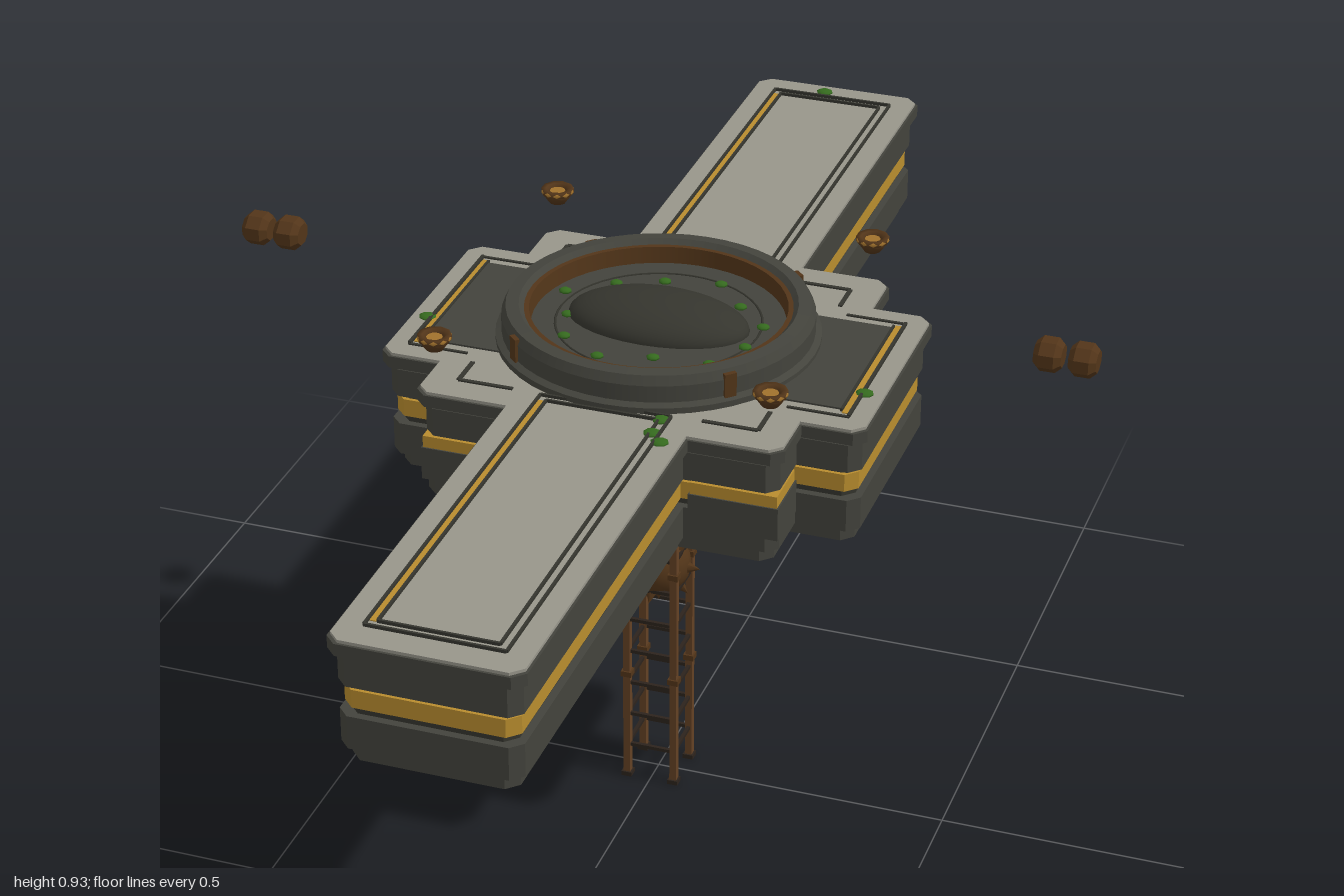
import * as THREE from 'three';

const mat = (name, color, side = THREE.FrontSide) => {
  const m = new THREE.MeshStandardMaterial({ color, side });
  m.name = name;
  return m;
};

export function createModel() {
  const root = new THREE.Group();
  root.name = 'skyBridge';
  const stone = mat('darkStone', 0x43433c, THREE.DoubleSide);
  const deep = mat('deepStone', 0x35352e);
  const pale = mat('paleStone', 0x97958a);
  const gold = mat('gold', 0xb88c2e);
  const bronze = mat('bronze', 0xa0712c);
  const rust = mat('rustBrown', 0x634124);
  const wood = mat('darkBrown', 0x523519, THREE.DoubleSide);
  const iron = mat('blackIron', 0x2c231c);
  const moss = mat('moss', 0x356a1e);

  const add = (name, geo, m, x = 0, y = 0, z = 0, parent = root) => {
    const mesh = new THREE.Mesh(geo, m);
    mesh.name = name;
    mesh.position.set(x, y, z);
    parent.add(mesh);
    return mesh;
  };
  const box = (name, m, w, h, d, x, y, z, parent) =>
    add(name, new THREE.BoxGeometry(w, h, d), m, x, y, z, parent);

  // Stepped cross outline with chamfered outer corners, inset by o
  const outline = (o) => {
    const c = 0.018, a = 0.15 - o, b = 0.3 - o, e = 0.4 - o;
    const l = 1 - o, m = 0.3 - o, n = 0.2 - o;
    const q = [[e, n - c], [e - c, n], [b, n], [b, m - c], [b - c, m], [a, m], [a, l - c], [a - c, l]];
    const r = [...q].reverse();
    const pts = [
      ...q, ...r.map(([x, y]) => [-x, y]),
      ...q.map(([x, y]) => [-x, -y]), ...r.map(([x, y]) => [x, -y]),
    ];
    return new THREE.Shape(pts.map(([x, y]) => new THREE.Vector2(x, y)));
  };
  const layer = (name, m, o, y0, y1) => {
    const g = new THREE.ExtrudeGeometry(outline(o), { depth: y1 - y0, bevelEnabled: false });
    g.rotateX(-Math.PI / 2);
    add(name, g, m, 0, y0, 0);
  };

  // Platform built up in courses
  layer('plinth', stone, 0.022, 0.62, 0.645);
  layer('lowerCourse', stone, 0.01, 0.645, 0.7);
  layer('lowerRecess', deep, 0.022, 0.7, 0.712);
  layer('goldBand', gold, 0.016, 0.712, 0.742);
  layer('upperRecess', deep, 0.022, 0.742, 0.75);
  layer('upperCourse', stone, 0.01, 0.75, 0.798);
  layer('capRecess', deep, 0.018, 0.798, 0.805);
  layer('cap', stone, 0, 0.805, 0.825);
  layer('deck', pale, 0.004, 0.825, 0.83);
  for (const sx of [-1, 1]) for (const sz of [-1, 1]) {
    box('cornerButtress', stone, 0.145, 0.056, 0.095, sx * 0.2205, 0.698, sz * 0.2445);
    box('cornerGoldBand', gold, 0.14, 0.02, 0.09, sx * 0.2205, 0.736, sz * 0.2445);
  }

  // Thin raised rectangular outline on the deck
  const frame = (name, w, d, z) => {
    const g = new THREE.Group();
    g.name = name;
    g.position.set(0, 0.832, z);
    for (const s of [-1, 1]) {
      box('longLine', deep, 0.004, 0.006, d, s * w / 2, 0, 0, g);
      box('shortLine', deep, w, 0.006, 0.004, 0, 0, s * d / 2, g);
    }
    root.add(g);
  };
  for (const s of [-1, 1]) {
    // Bridge arms: gold inlay sunk between two raised lips
    frame('armOuterFrame', 0.214, 0.7, s * 0.6);
    frame('armInnerFrame', 0.184, 0.67, s * 0.6);
    box('armGoldLine', gold, 0.01, 0.002, 0.67, -0.0995, 0.8305, s * 0.6);
    // Side terraces
    box('terracePad', stone, 0.17, 0.004, 0.28, s * 0.262, 0.831, 0);
    box('terraceGoldLine', gold, 0.01, 0.002, 0.3, s * 0.354, 0.8305, 0);
    box('terraceOuterLip', deep, 0.005, 0.006, 0.32, s * 0.3625, 0.832, 0);
    box('terraceInnerLip', deep, 0.004, 0.006, 0.29, s * 0.347, 0.832, 0);
    for (const t of [-1, 1]) {
      box('terraceSideLine', deep, 0.1, 0.003, 0.005, s * 0.314, 0.831, t * 0.16);
      box('cornerLineX', deep, 0.09, 0.003, 0.007, s * 0.2, 0.831, t * 0.245);
      box('cornerLineZ', deep, 0.007, 0.003, 0.06, s * 0.245, 0.831, t * 0.215);
    }
  }

  // Round basin with brown lining
  const lathe = (pts, seg) =>
    new THREE.LatheGeometry(pts.map(([x, y]) => new THREE.Vector2(x, y)), seg);
  const ringProfile = [[0.26, 0.83], [0.26, 0.84], [0.25, 0.845], [0.25, 0.873], [0.243, 0.888],
    [0.222, 0.89], [0.214, 0.882]];
  // Each straight run is its own strip so edges stay sharp
  for (let i = 0; i < ringProfile.length - 1; i++)
    add('basinRing', lathe([ringProfile[i], ringProfile[i + 1]], 48), stone);
  add('basinLip', lathe([[0.214, 0.882], [0.206, 0.882]], 48), wood);
  add('basinLining', lathe([[0.206, 0.882], [0.203, 0.85]], 48), wood);
  add('basinFloor', new THREE.CylinderGeometry(0.206, 0.206, 0.022, 48), stone, 0, 0.843, 0);
  add('floorRing', new THREE.TorusGeometry(0.165, 0.002, 4, 48).rotateX(Math.PI / 2), deep, 0, 0.854, 0);
  const dome = new THREE.SphereGeometry(1, 32, 10, 0, Math.PI * 2, 0, Math.PI / 2);
  add('centralDome', dome, deep, 0, 0.854, 0).scale.set(0.15, 0.046, 0.085);
  for (let i = 0; i < 4; i++) {
    const a = Math.PI / 4 + i * Math.PI / 2;
    const clip = box('ringClip', wood, 0.02, 0.04, 0.008, Math.sin(a) * 0.25, 0.863, Math.cos(a) * 0.25);
    clip.rotation.y = a;
  }

  // Floating fire bowls
  for (const sx of [-1, 1]) for (const sz of [-1, 1]) {
    const bowl = new THREE.Group();
    bowl.name = 'fireBowl';
    bowl.position.set(sx * 0.272, 0.895, sz * 0.272);
    add('bowlShell', lathe([[0, 0], [0.014, 0], [0.022, 0.011], [0.022, 0.016]], 10), wood, 0, 0, 0, bowl);
    add('bowlRim', lathe([[0.022, 0.016], [0.027, 0.017], [0.027, 0.025], [0.019, 0.025], [0.016, 0.018]], 10),
      wood, 0, 0, 0, bowl);
    add('rimBand', new THREE.TorusGeometry(0.0235, 0.0045, 6, 10).rotateX(Math.PI / 2), bronze, 0, 0.021, 0, bowl);
    add('embers', new THREE.CylinderGeometry(0.013, 0.012, 0.004, 10), bronze, 0, 0.019, 0, bowl);
    root.add(bowl);
  }

  // Paired floating barrels on either side
  const barrel = lathe([[0, -0.022], [0.02, -0.022], [0.03, -0.012], [0.03, 0.012], [0.02, 0.022], [0, 0.022]], 8)
    .rotateY(Math.PI / 8).rotateZ(-Math.PI / 2).scale(1, 0.9, 1.05).toNonIndexed();
  barrel.computeVertexNormals();
  for (const x of [-0.69, -0.635, 0.635, 0.69]) add('floatingBarrel', barrel, wood, x, 0.907, 0);

  // Lattice ladder tower
  for (const sx of [-1, 1]) for (const sz of [-1, 1]) {
    const x = sx * 0.041, z = sz * 0.041;
    box('foot', iron, 0.018, 0.008, 0.018, x, 0.004, z);
    box('leg', rust, 0.012, 0.612, 0.012, x, 0.314, z);
    for (const y of [0.205, 0.41, 0.612]) box('legCollar', wood, 0.018, 0.01, 0.018, x, y, z);
  }
  for (let i = 1; i < 10; i++) for (const s of [-1, 1]) {
    box('rungX', iron, 0.08, 0.006, 0.006, 0, i * 0.0622, s * 0.041);
    box('rungZ', iron, 0.006, 0.006, 0.08, s * 0.041, i * 0.0622, 0);
  }

  // Spiked ball hanging on a chain
  add('spikedBall', new THREE.SphereGeometry(0.054, 16, 10), wood, 0, 0.405, 0);
  const up = new THREE.Vector3(0, 1, 0);
  const spike = (x, y, z) => {
    const d = new THREE.Vector3(x, y, z).normalize();
    const m = add('spike', new THREE.ConeGeometry(0.011, 0.024, 6), wood);
    m.quaternion.setFromUnitVectors(up, d);
    m.position.copy(d).multiplyScalar(0.06).add(new THREE.Vector3(0, 0.405, 0));
  };
  for (const s of [-1, 1]) {
    spike(s, 0, 0); spike(0, s, 0); spike(0, 0, s);
    for (const t of [-1, 1]) { spike(s, t, 0); spike(0, t, s); spike(s, 0, t); }
  }
  add('chain', new THREE.CylinderGeometry(0.003, 0.003, 0.17, 6), iron, 0, 0.54, 0);
  for (const y of [0.475, 0.51, 0.55, 0.59])
    add('chainLink', new THREE.OctahedronGeometry(1), iron, 0, y, 0).scale.set(0.011, 0.018, 0.011);

  // Moss tufts on the deck and in the basin
  const tuft = (x, y, z, r) =>
    add('mossTuft', new THREE.SphereGeometry(1, 8, 5), moss, x, y, z).scale.set(r, 0.005, r * 0.9);
  for (const [x, z] of [[-0.02, -0.97], [-0.19, -0.275], [-0.37, 0.065], [0.365, 0.08], [0.095, 0.262], [0.115, 0.328], [0.095, 0.305]])
    tuft(x, 0.831, z, 0.015);
  for (let i = 0; i < 12; i++) {
    const a = i * 0.524 + 0.3, r = 0.165 + 0.02 * Math.sin(i * 2.3);
    tuft(Math.cos(a) * r, 0.856, Math.sin(a) * r * 0.85, 0.011);
  }
  return root;
}
